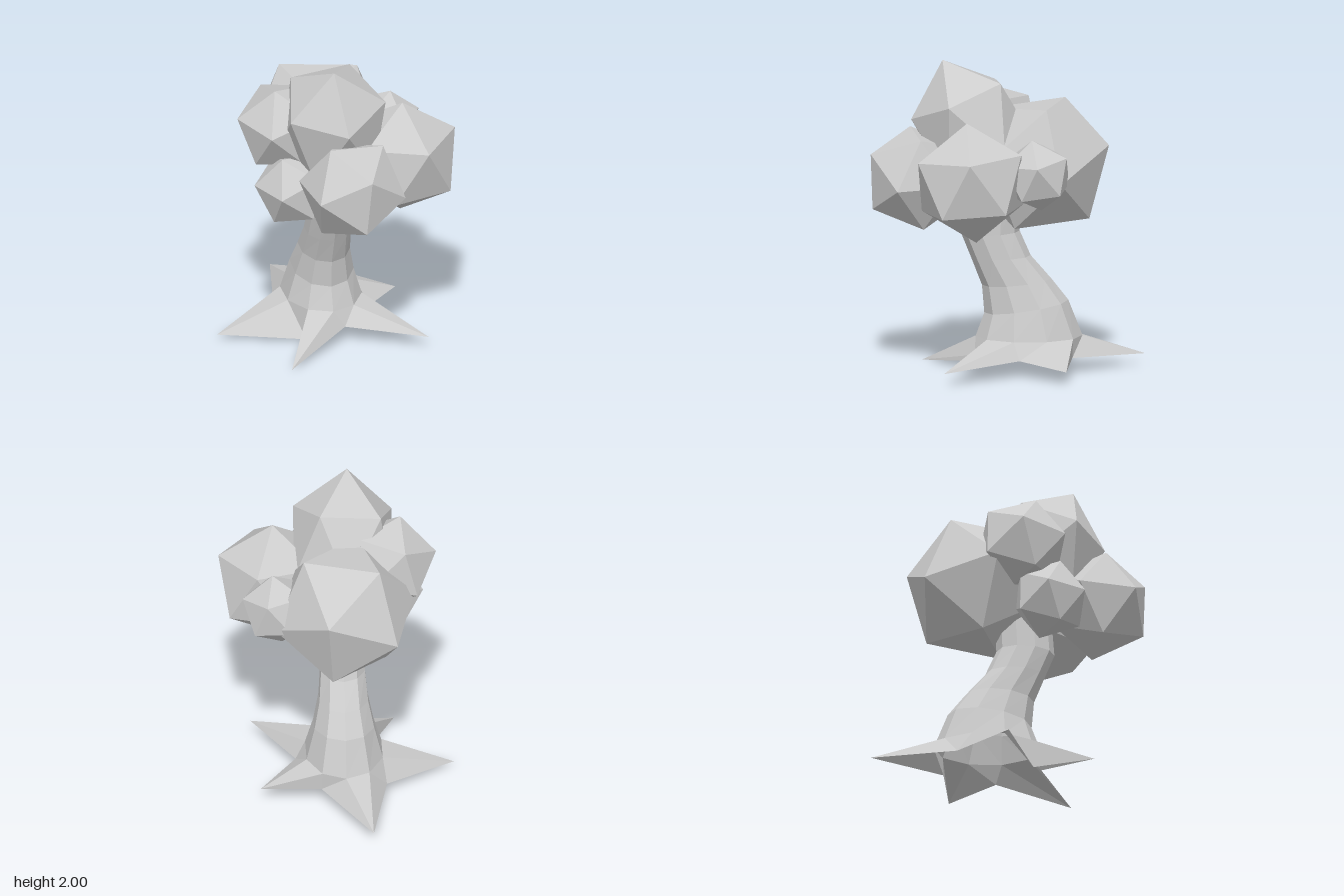
import * as THREE from 'three';

const V = (x, y, z) => new THREE.Vector3(x, y, z);
const material = new THREE.MeshStandardMaterial({ color: 0xcccccc, flatShading: true });
const openMaterial = new THREE.MeshStandardMaterial({ color: 0xcccccc, flatShading: true, side: THREE.DoubleSide });

// Skin between successive closed rings (counterclockwise seen from above, lowest ring first)
function loft(name, rings) {
  const n = rings[0].length, index = [];
  for (let r = 0; r < rings.length - 1; r++) {
    for (let i = 0; i < n; i++) {
      const j = (i + 1) % n, a = r * n, b = a + n;
      index.push(a + i, a + j, b + j, a + i, b + j, b + i);
    }
  }
  const geometry = new THREE.BufferGeometry().setFromPoints(rings.flat());
  geometry.setIndex(index);
  geometry.computeVertexNormals();
  const mesh = new THREE.Mesh(geometry, openMaterial);
  mesh.name = name;
  return mesh;
}

// Tilted ten-sided ring between a front and a back point, starting at the front right
function trunkRing([frontY, frontZ, backY, backZ, halfWidth]) {
  return Array.from({ length: 10 }, (_, i) => {
    const a = (i + 6.5) / 10 * Math.PI * 2, back = (1 + Math.sin(a)) / 2;
    return V(
      -0.035 + halfWidth * Math.cos(a),
      THREE.MathUtils.lerp(frontY, backY, back),
      THREE.MathUtils.lerp(frontZ, backZ, back),
    );
  });
}

// Orthonormal frame with y along the pole and x towards a second corner
function frame(pole, side) {
  const y = pole.clone().normalize();
  const z = side.clone().cross(y).normalize();
  return new THREE.Matrix4().makeBasis(y.clone().cross(z), y, z);
}

// Icosahedron turned so one corner lies along pole and a neighbour towards side
function leafClump(name, center, radius, pole, side, stretch = 1) {
  const geometry = new THREE.IcosahedronGeometry(radius, 0);
  const t = (1 + Math.sqrt(5)) / 2;
  geometry.applyMatrix4(frame(V(0, 1, t), V(0, -1, t)).transpose());
  geometry.scale(1, stretch, 1);
  geometry.applyMatrix4(frame(V(...pole), V(...side)));
  geometry.translate(...center);
  geometry.computeVertexNormals();
  const mesh = new THREE.Mesh(geometry, material);
  mesh.name = name;
  return mesh;
}

export function createModel() {
  const tree = new THREE.Group();
  tree.name = 'tree';

  // Bent trunk: front y, front z, back y, back z, half width
  const trunkRings = [
    [0.22, 0.21, 0.22, -0.47, 0.255],
    [0.37, 0.155, 0.45, -0.38, 0.20],
    [0.55, 0.17, 0.59, -0.27, 0.163],
    [0.73, 0.24, 0.74, -0.14, 0.147],
    [0.88, 0.30, 0.90, -0.07, 0.137],
    [1.15, 0.28, 1.15, -0.08, 0.125],
  ].map(trunkRing);
  tree.add(loft('trunk', trunkRings));

  // Star of five roots, open below: tips alternate with valleys
  const rootOutline = [
    V(-0.385, 0, 0.54), V(0.04, 0.11, 0.22),
    V(0.535, 0.08, 0.43), V(0.27, 0.11, -0.06),
    V(0.505, 0.08, -0.35), V(0.12, 0.10, -0.40),
    V(-0.19, 0.07, -0.875), V(-0.30, 0.08, -0.33),
    V(-0.74, 0.03, -0.02), V(-0.20, 0.02, 0.16),
  ];
  tree.add(loft('roots', [rootOutline, trunkRings[0]]));

  // Crown of faceted leaf clumps
  const crown = new THREE.Group();
  crown.name = 'crown';
  crown.add(
    leafClump('frontClump', [0, 1.25, 0.585], 0.345, [0.06, 0.165, 0.294], [-0.263, 0.015, 0.224]),
    leafClump('leftClump', [0.40, 1.29, 0.25], 0.387, [0, 0.39, 0.03], [0.34, 0.17, 0.02]),
    leafClump('topClump', [-0.045, 1.554, 0.23], 0.373, [-0.035, 0.446, 0.19], [0.015, 0.08, 0.39], 1.3),
    leafClump('backClump', [-0.038, 1.335, -0.2], 0.472, [0.121, 0.135, -0.432], [0.268, 0.395, -0.037]),
    leafClump('rightClump', [-0.335, 1.51, 0.08], 0.305, [-0.075, 0.29, 0.09], [-0.31, 0.055, -0.01]),
    leafClump('lowerRightClump', [-0.305, 1.15, 0.26], 0.255, [-0.255, 0.03, -0.02], [-0.1, 0.01, 0.22]),
    leafClump('smallBackClump', [0.39, 1.335, -0.165], 0.235, [0.03, 0.23, 0.03], [0.2, 0.05, 0]),
  );
  tree.add(crown);
  return tree;
}
